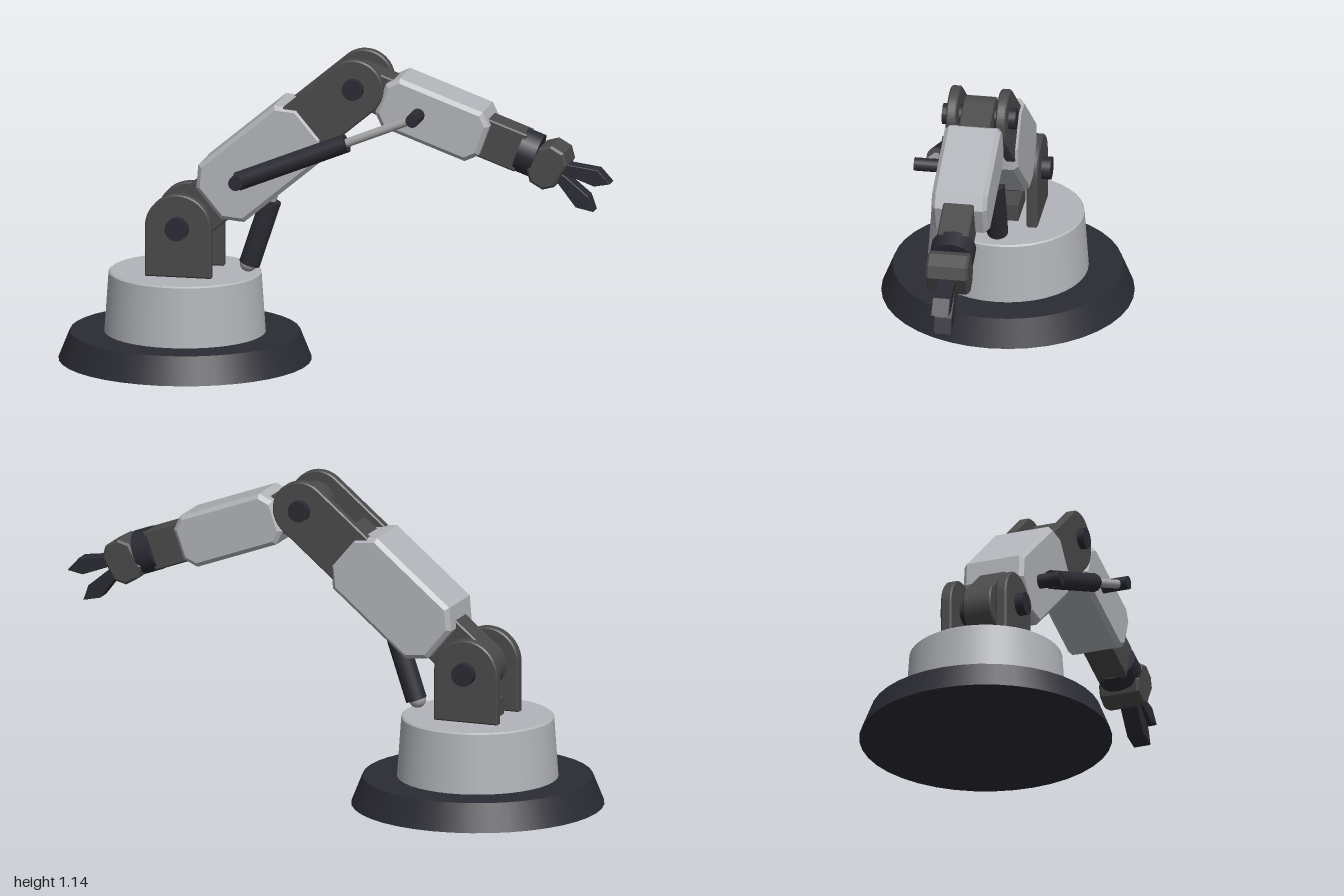
import * as THREE from 'three';

const mat = (name, color) => {
  const m = new THREE.MeshStandardMaterial({ color });
  m.name = name;
  return m;
};

export function createModel() {
  const light = mat('light grey casing', 0xb2b4b9);
  const dark = mat('dark grey frame', 0x4a4a4b);
  const navy = mat('blue black', 0x2b2b34);
  const steel = mat('steel', 0xa3a3a5);
  const model = new THREE.Group();

  const add = (parent, name, geometry, material, x = 0, y = 0, z = 0) => {
    const mesh = new THREE.Mesh(geometry, material);
    mesh.name = name;
    mesh.position.set(x, y, z);
    parent.add(mesh);
    return mesh;
  };

  const joint = (name, x, y, degrees) => {
    const g = new THREE.Group();
    g.name = name;
    g.position.set(x, y, 0);
    g.rotation.z = THREE.MathUtils.degToRad(degrees);
    model.add(g);
    return g;
  };

  // Extrude a side profile to a total depth, centred on z = 0
  const slab = (shape, depth, bevel) => new THREE.ExtrudeGeometry(shape, {
    depth: depth - 2 * bevel, bevelEnabled: true, bevelThickness: bevel,
    bevelSize: bevel, bevelOffset: -bevel, bevelSegments: 1, curveSegments: 14,
  }).translate(0, 0, bevel - depth / 2);

  const polygon = (points) => new THREE.Shape(points.map(p => new THREE.Vector2(...p)));

  // Rectangle with cut corners
  const casing = (x0, x1, h, c, depth, bevel = 0.015) => slab(polygon([
    [x0 + c, -h], [x1 - c, -h], [x1, c - h], [x1, h - c],
    [x1 - c, h], [x0 + c, h], [x0, h - c], [x0, c - h],
  ]), depth, bevel);

  // Bar with a round end at the origin, running along +x
  const link = (length, r, depth, bevel = 0.005) => {
    const s = new THREE.Shape();
    s.moveTo(length, r);
    s.lineTo(0, r);
    s.absarc(0, 0, r, Math.PI / 2, Math.PI * 1.5, false);
    s.lineTo(length, -r);
    s.closePath();
    return slab(s, depth, bevel);
  };

  const pin = (r, length) => new THREE.CylinderGeometry(r, r, length, 20).rotateX(Math.PI / 2);

  const rod = (name, a, b, r, material) => {
    const from = new THREE.Vector3(...a), to = new THREE.Vector3(...b);
    const dir = to.clone().sub(from);
    const mid = from.clone().add(to).multiplyScalar(0.5);
    const mesh = add(model, name, new THREE.CylinderGeometry(r, r, dir.length(), 16), material, mid.x, mid.y, mid.z);
    mesh.quaternion.setFromUnitVectors(new THREE.Vector3(0, 1, 0), dir.normalize());
  };

  // Base and turntable
  add(model, 'base', new THREE.CylinderGeometry(0.41, 0.45, 0.1, 40), navy, -0.55, 0.05, 0);
  add(model, 'turntable', new THREE.CylinderGeometry(0.272, 0.287, 0.215, 40), light, -0.55, 0.2075, 0);
  add(model, 'turntableCap', new THREE.CylinderGeometry(0.266, 0.272, 0.005, 40), light, -0.55, 0.3175, 0);

  // Shoulder
  const shoulder = joint('shoulder', -0.55, 0.5, -90);
  for (const s of [-1, 1]) add(shoulder, 'shoulderBracket', link(0.18, 0.12, 0.04), dark, 0, 0, s * 0.105);
  add(shoulder, 'shoulderPin', pin(0.041, 0.315), navy);
  add(model, 'shoulderBlock', new THREE.BoxGeometry(0.16, 0.065, 0.1), dark, -0.55, 0.35, 0);

  // Upper arm
  const upperArm = joint('upperArm', -0.55, 0.5, 40);
  add(upperArm, 'upperArmSpar', link(0.66, 0.09, 0.105), dark);
  add(upperArm, 'upperArmCasing', casing(0.14, 0.62, 0.13, 0.06, 0.23), light);
  for (const s of [-1, 1]) {
    const fork = add(upperArm, 'elbowFork', link(0.32, 0.105, 0.036), dark, 0.83, 0, s * 0.089);
    fork.rotation.z = Math.PI;
  }

  // Forearm
  const forearm = joint('forearm', 0.085, 1.035, -20);
  add(forearm, 'elbowPin', pin(0.038, 0.264), navy);
  add(forearm, 'forearmSpar', link(0.635, 0.072, 0.112), dark);
  add(forearm, 'forearmCasing', casing(0.1, 0.5, 0.096, 0.04, 0.2), light);
  add(forearm, 'wristCollar', new THREE.CylinderGeometry(0.08, 0.08, 0.065, 20).rotateZ(Math.PI / 2), navy, 0.655);

  // Gripper
  const gripper = joint('gripper', 0.724, 0.806, -30);
  add(gripper, 'gripperBody', casing(0.005, 0.122, 0.078, 0.032, 0.15, 0.008), dark);
  for (const s of [-1, 1]) {
    const points = [[0.1, 0.002], [0.135, 0.004], [0.24, 0.022], [0.284, 0.06], [0.222, 0.08], [0.1, 0.03]];
    const profile = polygon(points.map(([x, y]) => [x, s * y]));
    add(gripper, 'finger', slab(profile, 0.064, 0.002), navy);
  }

  // Side ram between the arm casings
  rod('sideRamBarrel', [-0.324, 0.69, 0.16], [0.072, 0.85, 0.16], 0.034, navy);
  rod('sideRamRod', [0.06, 0.845, 0.16], [0.318, 0.95, 0.16], 0.016, steel);
  add(model, 'sideRamLowerPin', pin(0.026, 0.1), navy, -0.324, 0.69, 0.15);
  add(model, 'sideRamUpperPin', pin(0.024, 0.11), navy, 0.318, 0.95, 0.143);

  // Lower ram under the upper arm
  rod('lowerRamBarrel', [-0.316, 0.355, 0], [-0.238, 0.59, 0], 0.038, navy);
  rod('lowerRamRod', [-0.24, 0.58, 0], [-0.215, 0.66, 0], 0.018, steel);
  add(model, 'lowerRamFoot', new THREE.SphereGeometry(0.031, 16, 12), steel, -0.32, 0.357, 0);

  return model;
}
